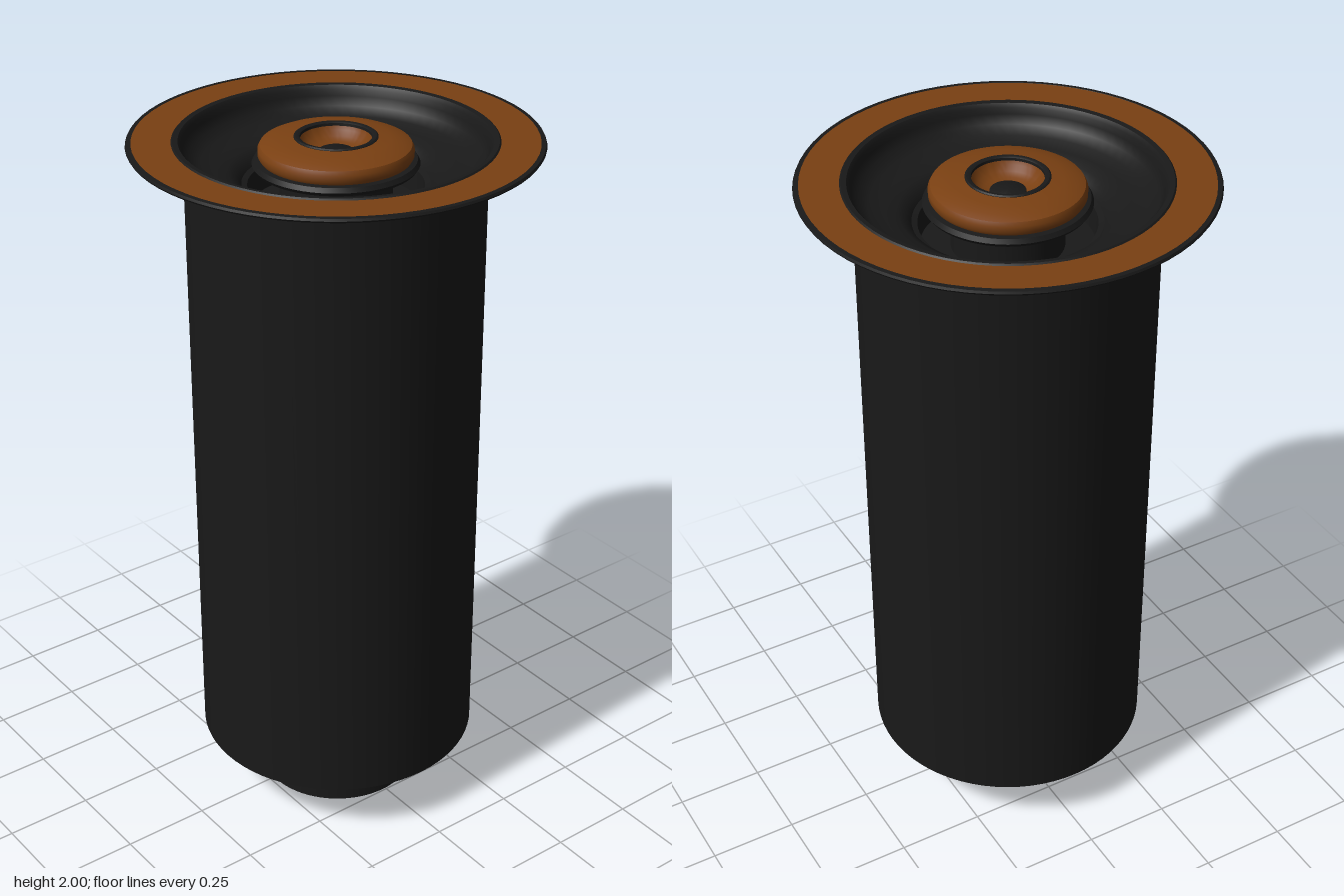
import * as THREE from 'three';
import { toCreasedNormals } from 'three/addons/utils/BufferGeometryUtils.js';

const black = new THREE.MeshStandardMaterial({ color: 0x191919, side: THREE.DoubleSide });
const copper = new THREE.MeshStandardMaterial({ color: 0x7a4012, side: THREE.DoubleSide });

// Turned part from [radius, height] pairs; the axis leans slightly towards the foot
function turned(name, material, profile) {
  const geo = new THREE.LatheGeometry(profile.map(([r, y]) => new THREE.Vector2(r, y)), 72);
  const p = geo.attributes.position;
  for (let i = 0; i < p.count; i++) {
    const lean = 1 - p.getY(i) / 2;
    p.setX(i, p.getX(i) + 0.017 * lean);
    p.setZ(i, p.getZ(i) + 0.008 * lean);
  }
  const mesh = new THREE.Mesh(toCreasedNormals(geo, 0.6), material);
  mesh.name = name;
  return mesh;
}

export function createModel() {
  const group = new THREE.Group();
  group.name = 'drain';
  group.add(
    // Outlet pipe, open at the foot
    turned('outletPipe', black, [[0.222, 0.172], [0.222, 0], [0.228, 0], [0.228, 0.172]]),

    // Main cylinder with its flared neck, rolled lip and inner basin
    turned('body', black, [
      [0, 0.172], [0.402, 0.172], [0.402, 1.96], [0.412, 1.972], [0.43, 1.98],
      [0.432, 1.99], [0.427, 1.995], [0.413, 1.993], [0.405, 1.983], [0.402, 1.965],
      [0.39, 1.94], [0.36, 1.922], [0.32, 1.912], [0.285, 1.903], [0.262, 1.89],
      [0.25, 1.87], [0.235, 1.865], [0.23, 1.8], [0, 1.8],
    ]),

    // Copper flange and its dark edge band
    turned('flange', copper, [[0.428, 1.979], [0.537, 1.981], [0.537, 1.991], [0.428, 1.991]]),
    turned('flangeEdge', black, [
      [0.535, 1.98], [0.547, 1.981], [0.55, 1.986], [0.547, 1.992], [0.535, 1.993],
    ]),

    // Central plug on a dark stem
    turned('plugStem', black, [
      [0.15, 1.8], [0.15, 1.9], [0.215, 1.915], [0.222, 1.925], [0.215, 1.937], [0.19, 1.94],
    ]),
    turned('plug', copper, [
      [0.185, 1.935], [0.2, 1.938], [0.206, 1.948], [0.206, 1.965], [0.2, 1.976],
      [0.18, 1.985], [0.145, 1.992], [0.11, 1.996],
    ]),
    turned('plugRing', black, [
      [0.112, 1.99], [0.111, 1.997], [0.107, 2], [0.1, 2], [0.095, 1.997], [0.094, 1.988],
    ]),
    turned('plugDish', copper, [
      [0.096, 1.994], [0.09, 1.98], [0.078, 1.967], [0.063, 1.958], [0.046, 1.954],
    ]),
    turned('plugCentre', black, [[0.048, 1.952], [0.047, 1.957], [0.043, 1.959], [0, 1.959]]),
  );
  return group;
}
